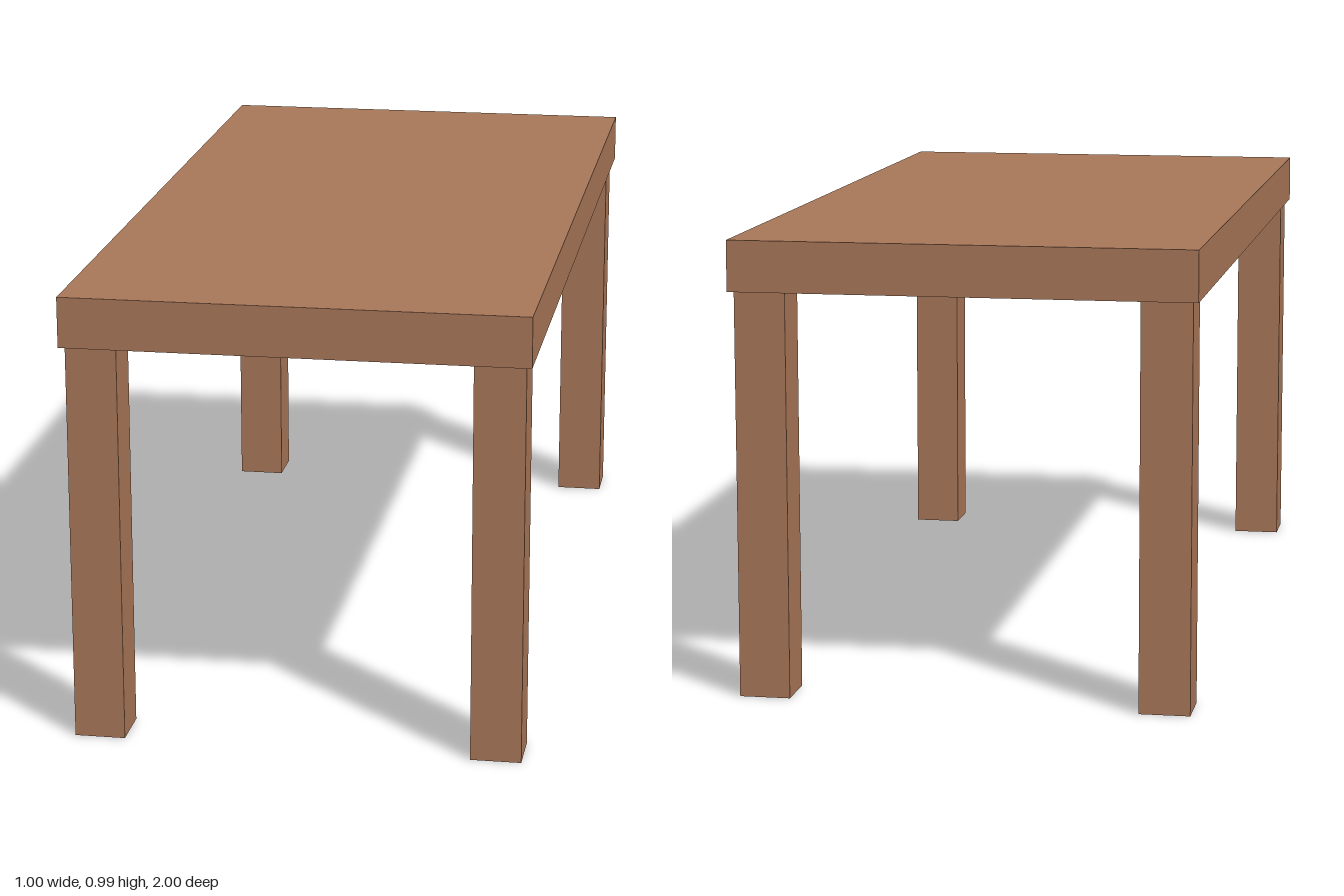
import * as THREE from 'three';

export function createModel() {
  const table = new THREE.Group();
  table.name = 'table';
  const wood = new THREE.MeshStandardMaterial({ color: 0xa87658 });

  const topHeight = 0.11, legHeight = 0.88, legWidth = 0.11;

  // Slab top
  const top = new THREE.Mesh(new THREE.BoxGeometry(1, topHeight, 2), wood);
  top.name = 'tableTop';
  top.position.y = legHeight + topHeight / 2;
  table.add(top);

  // Four square legs, set slightly in from the corners
  const legGeometry = new THREE.BoxGeometry(legWidth, legHeight, legWidth);
  for (const [sideName, x] of [['Left', 0.433], ['Right', -0.433]]) {
    for (const [endName, z] of [['front', 0.933], ['back', -0.933]]) {
      const leg = new THREE.Mesh(legGeometry, wood);
      leg.name = `${endName}${sideName}Leg`;
      leg.position.set(x, legHeight / 2, z);
      table.add(leg);
    }
  }

  return table;
}
